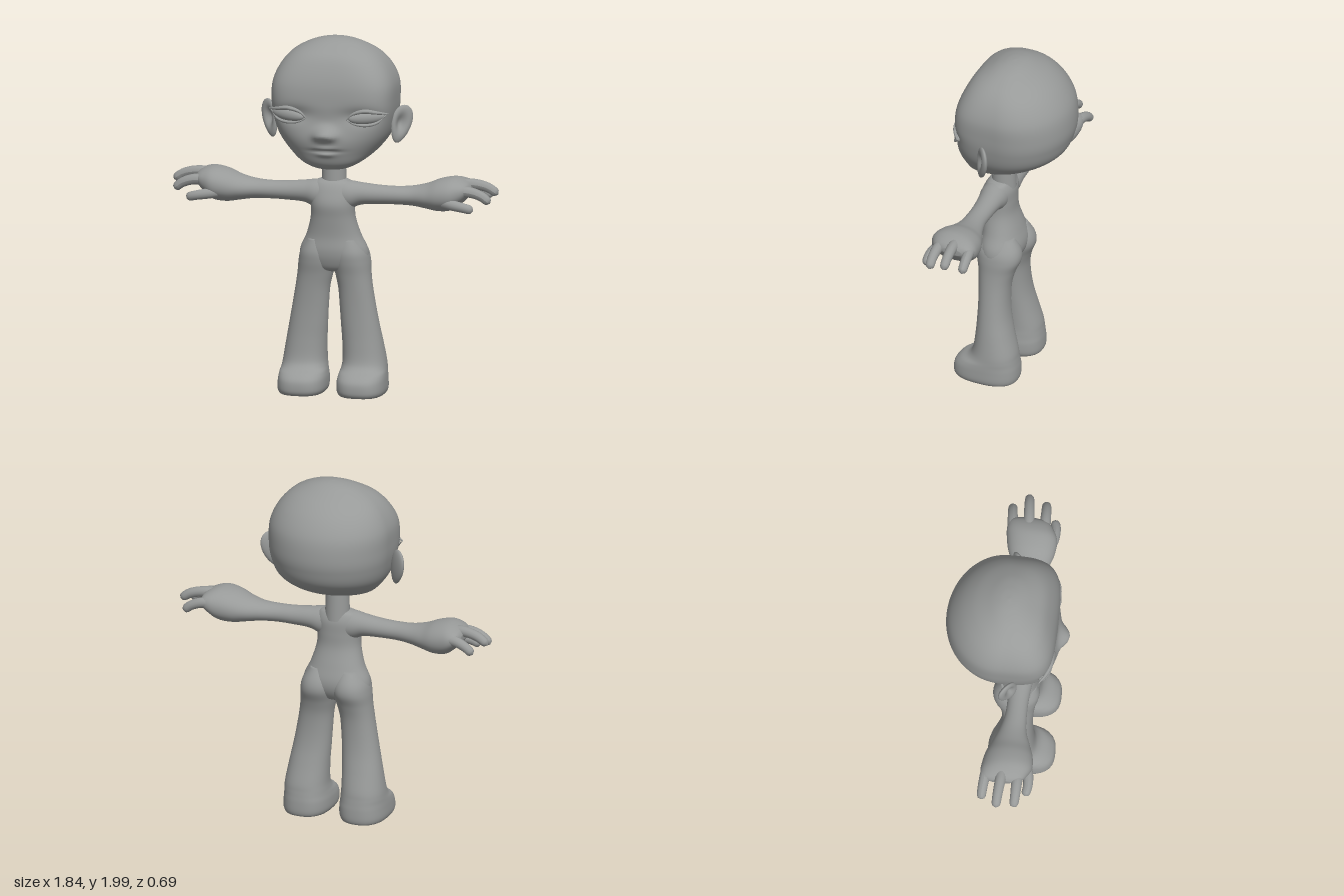
import * as THREE from 'three';

const clay = new THREE.MeshStandardMaterial({ color: 0x989a99 });
clay.name = 'clay grey';

// Smoothly interpolates a table of cross-sections
function smoothRows(rows, steps) {
  const out = [];
  for (let i = 0; i < rows.length - 1; i++) {
    const p = [rows[Math.max(i - 1, 0)], rows[i], rows[i + 1], rows[Math.min(i + 2, rows.length - 1)]];
    for (let s = 0; s < steps; s++) {
      const u = s / steps;
      out.push(rows[i].map((_, k) => {
        const [a, b, c, d] = p.map((r) => r[k]);
        return b + 0.5 * u * (c - a + u * (2 * a - 5 * b + 4 * c - d + u * (3 * (b - c) + d - a)));
      }));
    }
  }
  out.push(rows[rows.length - 1]);
  return out;
}

// Skins cross-sections [t, a0, a1, b0, b1, roundness at +b, roundness at -b].
// Upright: t = y, a = x, b = z.  Sideways: t = x, a = z, b = y.
function loft(rows, { sideways = false, steps = 6, segments = 40, rule } = {}) {
  const rings = smoothRows(rows, steps), pos = [], index = [];
  const put = (t, a, b) => {
    const v = sideways ? new THREE.Vector3(t, b, a) : new THREE.Vector3(a, t, b);
    if (rule) rule(v);
    pos.push(v.x, v.y, v.z);
  };
  for (const [t, a0, a1, b0, b1, nf, nb] of rings) {
    for (let j = 0; j < segments; j++) {
      const th = (j / segments) * Math.PI * 2, c = Math.cos(th), s = Math.sin(th), n = s > 0 ? nf : nb;
      const r = Math.pow(Math.abs(c) ** n + Math.abs(s) ** n, -1 / n);
      put(t, (a0 + a1) / 2 + (r * c * (a1 - a0)) / 2, (b0 + b1) / 2 + (r * s * (b1 - b0)) / 2);
    }
  }
  for (let i = 0; i < rings.length - 1; i++) {
    for (let j = 0; j < segments; j++) {
      const k = (j + 1) % segments, p = i * segments, q = p + segments;
      index.push(p + j, q + j, p + k, p + k, q + j, q + k);
    }
  }
  // End caps
  for (const end of [0, rings.length - 1]) {
    const [t, a0, a1, b0, b1] = rings[end], mid = pos.length / 3, p = end * segments;
    put(t, (a0 + a1) / 2, (b0 + b1) / 2);
    for (let j = 0; j < segments; j++) {
      const k = (j + 1) % segments;
      index.push(mid, end ? p + k : p + j, end ? p + j : p + k);
    }
  }
  const g = new THREE.BufferGeometry();
  g.setAttribute('position', new THREE.Float32BufferAttribute(pos, 3));
  g.setIndex(index);
  g.computeVertexNormals();
  return g;
}

// Tube along a path whose radius follows a profile function of 0..1
function taperedTube(points, radius, profile, segments = 24, sides = 14) {
  const curve = new THREE.CatmullRomCurve3(points.map((p) => new THREE.Vector3(...p)));
  const g = new THREE.TubeGeometry(curve, segments, radius, sides);
  const pos = g.attributes.position, v = new THREE.Vector3();
  for (let i = 0; i < pos.count; i++) {
    const u = Math.floor(i / (sides + 1)) / segments, c = curve.getPointAt(u);
    v.fromBufferAttribute(pos, i).sub(c).multiplyScalar(profile(u)).add(c);
    pos.setXYZ(i, v.x, v.y, v.z);
  }
  g.computeVertexNormals();
  return g;
}

function mirrored(geometry) {
  const g = geometry.clone().scale(-1, 1, 1), ix = g.index.array;
  for (let i = 0; i < ix.length; i += 3) [ix[i], ix[i + 1]] = [ix[i + 1], ix[i]];
  return g;
}

// Soft bump used to model the face
const bump = (x, y, cx, cy, sx, sy, amount) =>
  amount * Math.exp(-(((x - cx) / sx) ** 2) - ((y - cy) / sy) ** 2);

function sculptFace(v) {
  if (v.z < 0.08) return;
  const x = Math.abs(v.x), y = v.y;
  v.z += bump(x, y, 0, 1.45, 0.13, 0.07, 0.02)      // muzzle
    + bump(x, y, 0, 1.5, 0.055, 0.036, 0.053)       // nose
    + bump(x, y, 0.045, 1.485, 0.025, 0.02, 0.01)   // nostrils
    + bump(x, y, 0, 1.42, 0.055, 0.013, 0.012)      // upper lip
    + bump(x, y, 0, 1.382, 0.045, 0.014, 0.012)     // lower lip
    - bump(x, y, 0, 1.402, 0.075, 0.009, 0.014)     // mouth
    - bump(x, y, 0.19, 1.6, 0.1, 0.045, 0.022);     // eye sockets
}

export function createModel() {
  const model = new THREE.Group();
  const add = (name, g) => {
    const m = new THREE.Mesh(g, clay);
    m.name = name;
    model.add(m);
  };
  const pair = (name, g) => {
    add('left ' + name, g);
    add('right ' + name, mirrored(g));
  };
  const even = (t, w, b0, b1, nf = 2.2, nb = 2.2) => [t, -w, w, b0, b1, nf, nb];

  // Head: round at the back, flat at the face
  add('head', loft([
    even(1.284, 0.015, 0.15, 0.18),
    even(1.29, 0.09, 0.09, 0.215),
    even(1.325, 0.168, 0, 0.25, 2.4, 2),
    even(1.385, 0.245, -0.17, 0.266, 2.6, 2),
    even(1.47, 0.307, -0.292, 0.275, 3.2, 2),
    even(1.57, 0.336, -0.336, 0.271, 4, 2),
    even(1.66, 0.345, -0.345, 0.275, 4.3, 2),
    even(1.76, 0.341, -0.328, 0.266, 4, 2),
    even(1.85, 0.303, -0.275, 0.235, 3.4, 2),
    even(1.92, 0.24, -0.2, 0.19, 2.8, 2),
    even(1.97, 0.15, -0.11, 0.115, 2.4, 2),
    even(1.993, 0.07, -0.05, 0.055),
    even(2, 0.006, -0.002, 0.008),
  ], { steps: 10, segments: 112, rule: sculptFace }));

  // Eyeballs and their almond lids
  const eyeball = new THREE.SphereGeometry(1, 32, 20).scale(0.1, 0.036, 0.03)
    .rotateZ(0.08).rotateY(0.3).translate(0.222, 1.594, 0.235);
  pair('eyeball', eyeball);
  const thin = (u) => 0.25 + 0.75 * Math.sin(Math.PI * u);
  pair('upper eyelid', taperedTube(
    [[0.115, 1.582, 0.262], [0.15, 1.615, 0.263], [0.215, 1.634, 0.26], [0.28, 1.625, 0.238], [0.337, 1.614, 0.2]], 0.012, thin));
  pair('lower eyelid', taperedTube(
    [[0.115, 1.582, 0.262], [0.155, 1.561, 0.262], [0.22, 1.554, 0.255], [0.28, 1.567, 0.236], [0.328, 1.61, 0.2]], 0.009, thin));

  // Ears: dished discs turned outward and forward
  const ear = new THREE.SphereGeometry(1, 36, 28), p = ear.attributes.position;
  for (let i = 0; i < p.count; i++) {
    const x = p.getX(i), y = p.getY(i), z = p.getZ(i);
    const dish = z > 0 ? 1.5 * Math.exp(-5 * ((x + 0.12) ** 2 + (y - 0.05) ** 2)) : 0;
    p.setXYZ(i, x * (0.062 + 0.014 * y), y * 0.108, (z - dish) * 0.024);
  }
  ear.computeVertexNormals();
  pair('ear', ear.rotateZ(-0.3).rotateY(0.72).translate(0.372, 1.527, 0.035));

  add('neck', new THREE.CylinderGeometry(0.063, 0.07, 0.2, 32, 4).translate(0, 1.26, 0.068));

  add('torso', loft([
    even(0.69, 0.06, 0.02, 0.1),
    even(0.71, 0.135, -0.02, 0.15),
    even(0.76, 0.188, -0.05, 0.175),
    even(0.82, 0.188, -0.056, 0.185),
    even(0.9, 0.152, -0.035, 0.18),
    even(1, 0.125, -0.006, 0.188),
    even(1.08, 0.124, -0.002, 0.196),
    even(1.15, 0.128, 0, 0.175),
    even(1.195, 0.11, 0.015, 0.15),
    even(1.215, 0.06, 0.03, 0.12),
  ]));

  // Legs widen downward and run into rounded toes
  pair('leg and foot', loft([
    [0.008, 0.06, 0.275, -0.07, 0.245, 2.8, 2.5],
    [0.014, 0.045, 0.292, -0.088, 0.264, 2.8, 2.5],
    [0.04, 0.033, 0.302, -0.096, 0.276, 2.8, 2.5],
    [0.09, 0.032, 0.301, -0.095, 0.271, 2.7, 2.5],
    [0.125, 0.037, 0.298, -0.091, 0.24, 2.6, 2.4],
    [0.155, 0.043, 0.294, -0.087, 0.19, 2.4, 2.3],
    [0.2, 0.047, 0.288, -0.08, 0.165, 2.3, 2.2],
    [0.3, 0.045, 0.271, -0.053, 0.154, 2.2, 2.2],
    [0.4, 0.039, 0.252, -0.031, 0.15, 2.2, 2.2],
    [0.5, 0.033, 0.234, -0.022, 0.15, 2.2, 2.2],
    [0.6, 0.025, 0.217, -0.026, 0.155, 2.2, 2.2],
    [0.68, 0.008, 0.206, -0.046, 0.164, 2.2, 2.2],
    [0.75, -0.006, 0.2, -0.074, 0.178, 2.2, 2.2],
    [0.81, 0, 0.186, -0.068, 0.182, 2.2, 2.2],
    [0.88, 0.03, 0.145, -0.03, 0.165, 2.2, 2.2],
  ]));

  // Arms flare into broad palms
  pair('arm and palm', loft([
    [0, 0.012, 0.165, 1.03, 1.212, 2, 2],
    [0.09, 0.012, 0.168, 1.045, 1.207, 2, 2],
    [0.16, 0.018, 0.152, 1.073, 1.197, 2, 2],
    [0.26, 0.022, 0.14, 1.08, 1.187, 2, 2],
    [0.36, 0.018, 0.138, 1.082, 1.184, 2, 2],
    [0.45, -0.005, 0.145, 1.078, 1.19, 2, 2],
    [0.53, -0.038, 0.172, 1.066, 1.208, 2, 2],
    [0.6, -0.066, 0.195, 1.056, 1.235, 2.1, 2.1],
    [0.67, -0.08, 0.2, 1.064, 1.248, 2.2, 2.2],
    [0.72, -0.083, 0.178, 1.098, 1.241, 2.3, 2.3],
    [0.76, -0.07, 0.145, 1.14, 1.222, 2.3, 2.3],
    [0.778, -0.02, 0.09, 1.165, 1.2, 2.3, 2.3],
  ], { sideways: true }));

  // Fingers and thumb with rounded tips
  const digit = (u) => (u > 0.88 ? Math.sqrt(Math.max(0, 1 - ((u - 0.88) / 0.12) ** 2)) : 1) * (1.15 - 0.3 * u);
  const digits = {
    'index finger': [[0.68, 1.175, 0.125], [0.78, 1.178, 0.124], [0.85, 1.155, 0.122], [0.895, 1.118, 0.118]],
    'middle finger': [[0.68, 1.2, 0.04], [0.78, 1.207, 0.033], [0.86, 1.19, 0.026], [0.92, 1.152, 0.022]],
    'little finger': [[0.66, 1.17, -0.04], [0.75, 1.178, -0.054], [0.82, 1.155, -0.062], [0.866, 1.118, -0.064]],
    thumb: [[0.6, 1.125, 0.14], [0.69, 1.112, 0.178], [0.76, 1.1, 0.184], [0.813, 1.085, 0.172]],
  };
  for (const [name, path] of Object.entries(digits)) pair(name, taperedTube(path, 0.029, digit));

  return model;
}
